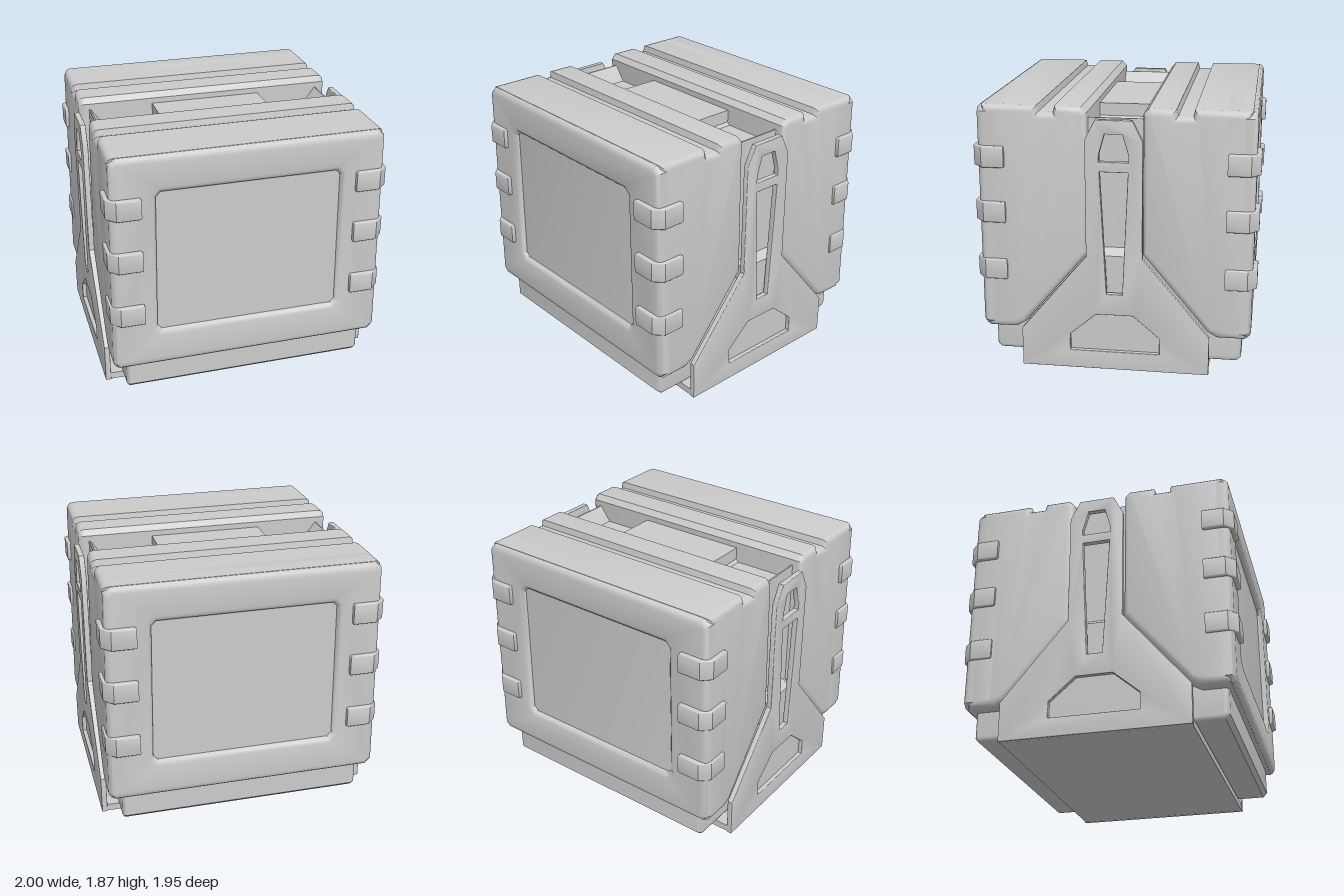
import * as THREE from 'three';
import { toCreasedNormals } from 'three/addons/utils/BufferGeometryUtils.js';

const material = new THREE.MeshStandardMaterial({ color: 0xcccccc });
const STRAP_HEIGHTS = [0.71, 1.125, 1.515];

const points = (list) => list.map(([a, b]) => new THREE.Vector2(a, b));
// Closes a half outline by mirroring it across the second axis.
const mirrored = (half) => [...half, ...half.map(([a, b]) => [-a, b]).reverse()];

// Extrudes an outline, centred on its depth, with bevels kept inside the outline.
function extrude(outline, depth, bevel, holes = []) {
  const shape = new THREE.Shape(points(outline));
  shape.holes = holes.map((h) => new THREE.Path(points(h)));
  const g = new THREE.ExtrudeGeometry(shape, {
    depth: depth - 2 * bevel, bevelEnabled: bevel > 0, bevelThickness: bevel,
    bevelSize: bevel, bevelOffset: -bevel, bevelSegments: 3,
  });
  g.translate(0, 0, -(depth - 2 * bevel) / 2);
  return toCreasedNormals(g, 0.6);
}

// Outline given as (z, y), extruded along x.
const extrudeX = (...args) => extrude(...args).rotateY(-Math.PI / 2);

function add(parent, name, geometry) {
  const mesh = new THREE.Mesh(geometry, material);
  mesh.name = name;
  parent.add(mesh);
  return mesh;
}

// Narrows the case slightly towards the top.
function taper(g) {
  const p = g.attributes.position;
  for (let i = 0; i < p.count; i++) {
    const t = (p.getY(i) - 0.27) / 1.6;
    p.setX(i, p.getX(i) * THREE.MathUtils.lerp(0.979, 0.953, t));
  }
  return g;
}

function chamferedRect(w, y0, y1, c) {
  return mirrored([[w - c, y0], [w, y0 + c], [w, y1 - c], [w - c, y1]]);
}

function createCaseHalf() {
  const half = new THREE.Group();
  half.name = 'caseHalf';

  // Main shell: grooved top, slanted lower inside corner
  const shell = [
    [0.19, 0.85], [0.19, 1.83], [0.225, 1.87], [0.41, 1.87], [0.42, 1.825],
    [0.52, 1.825], [0.53, 1.87], [0.91, 1.87], [0.91, 0.27], [0.71, 0.27], [0.64, 0.31],
  ];
  add(half, 'shell', taper(extrudeX(shell, 2, 0.045)));

  // Bevelled frame around the sunken face panel
  const frame = extrude(chamferedRect(1, 0.27, 1.87, 0.045), 0.25, 0.045,
    [chamferedRect(0.67, 0.55, 1.6, 0.03)]);
  add(half, 'faceFrame', taper(frame.translate(0, 0, 0.82)));

  // Corner straps
  for (const s of [1, -1]) {
    const strap = [
      [0.75, 0.9], [0.75, 0.975], [0.92, 0.975], [0.985, 0.91],
      [0.985, 0.755], [0.9, 0.755], [0.9, 0.9],
    ].map(([x, z]) => [s * x, z]);
    for (const y of STRAP_HEIGHTS) {
      add(half, 'cornerStrap', extrude(strap, 0.15, 0.012).rotateX(Math.PI / 2)).position.y = y;
    }
  }
  return half;
}

function createCore() {
  const core = new THREE.Group();
  core.name = 'core';

  // Base block rising between the two halves
  add(core, 'base', extrudeX(mirrored([
    [0.85, 0.06], [0.88, 0.09], [0.88, 0.36], [0.2, 0.88],
  ]), 1.76, 0.03));

  // Spine with a hand pocket at each end of its top
  add(core, 'spine', extrude(mirrored([
    [0.88, 0.4], [0.88, 1.79], [0.87, 1.79], [0.79, 1.68], [0.43, 1.68], [0.41, 1.7], [0.41, 1.79],
  ]), 0.42, 0));
  return core;
}

function createCradle() {
  const cradle = new THREE.Group();
  cradle.name = 'cradle';

  const plate = mirrored([
    [0.66, 0], [0.66, 0.28], [0.195, 0.84], [0.195, 1.66], [0.125, 1.8],
  ]);
  const upperSlot = mirrored([[0.1, 1.515], [0.1, 1.565], [0.06, 1.705]]);
  const longSlot = mirrored([[0.055, 0.57], [0.097, 1.445]]);
  const lowerWindow = mirrored([[0.315, 0.135], [0.315, 0.255], [0.13, 0.415]]);

  for (const s of [1, -1]) {
    add(cradle, 'sidePlate', extrudeX(plate, 0.04, 0.004, [upperSlot, longSlot, lowerWindow]))
      .position.x = s * 0.98;
    // Sunken panel closing the lower window
    add(cradle, 'windowPanel', extrudeX(mirrored([[0.34, 0.11], [0.34, 0.27], [0.14, 0.435]]), 0.015, 0))
      .position.x = s * 0.962;
    // Pad with a sloped top behind the long slot
    const pad = [[0.86, 0.32], [0.94, 0.32], [0.94, 0.83], [0.86, 0.89]].map(([x, y]) => [s * x, y]);
    add(cradle, 'slotPad', extrude(pad, 0.3, 0));
  }

  add(cradle, 'floorPlate', new THREE.BoxGeometry(1.94, 0.05, 1.31)).position.y = 0.026;
  return cradle;
}

export function createModel() {
  const model = new THREE.Group();
  model.name = 'storageCase';
  const front = createCaseHalf();
  const back = createCaseHalf();
  back.rotation.y = Math.PI;
  model.add(front, back, createCore(), createCradle());
  return model;
}
